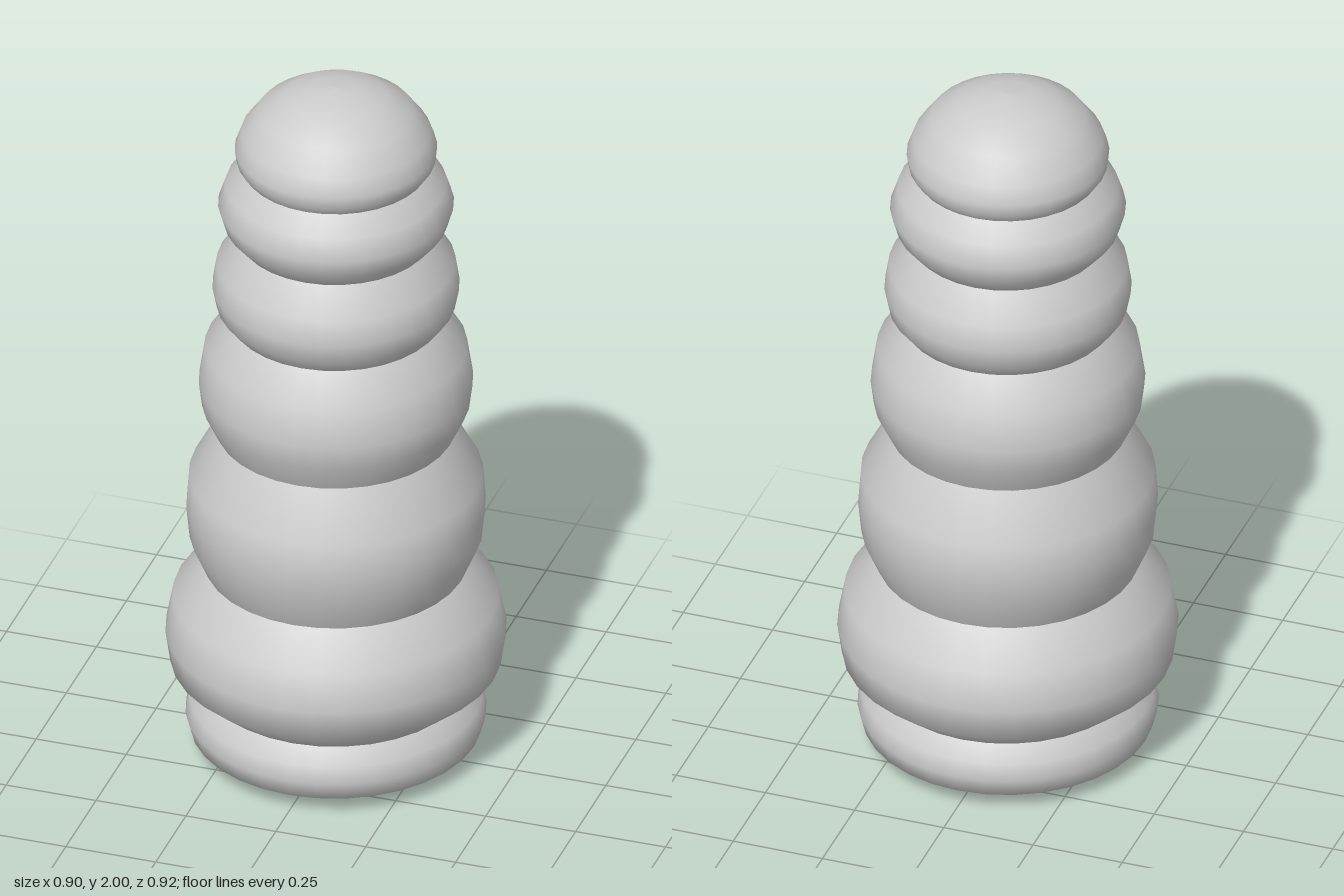
import * as THREE from 'three';

// Bulging rings from the ground up, each a profile of [radius, height]
const rings = {
  base: [[0, 0], [0.15, 0.01], [0.34, 0.027], [0.384, 0.05], [0.397, 0.1], [0.388, 0.148], [0.352, 0.19]],
  skirtRing: [[0.352, 0.19], [0.437, 0.262], [0.45, 0.35], [0.43, 0.455], [0.347, 0.55]],
  lowerRing: [[0.347, 0.55], [0.386, 0.64], [0.395, 0.73], [0.388, 0.825], [0.315, 0.96]],
  middleRing: [[0.315, 0.96], [0.353, 1.04], [0.362, 1.11], [0.346, 1.215], [0.28, 1.3]],
  upperRing: [[0.28, 1.3], [0.315, 1.345], [0.326, 1.4], [0.315, 1.47], [0.257, 1.55]],
  neckRing: [[0.257, 1.55], [0.295, 1.595], [0.311, 1.65], [0.291, 1.71], [0.245, 1.76]],
  domeTop: [[0.245, 1.76], [0.262, 1.785], [0.267, 1.82], [0.25, 1.868], [0.203, 1.932],
    [0.135, 1.975], [0.07, 1.994], [0, 2]],
};

export function createModel() {
  const group = new THREE.Group();
  const material = new THREE.MeshStandardMaterial({ color: 0xcccccc, side: THREE.DoubleSide });
  for (const [name, profile] of Object.entries(rings)) {
    const points = profile.map(([r, y]) => new THREE.Vector2(r, y));
    const mesh = new THREE.Mesh(new THREE.LatheGeometry(points, 32), material);
    mesh.scale.z = 1.018; // slightly deeper than wide
    mesh.name = name;
    group.add(mesh);
  }
  return group;
}
